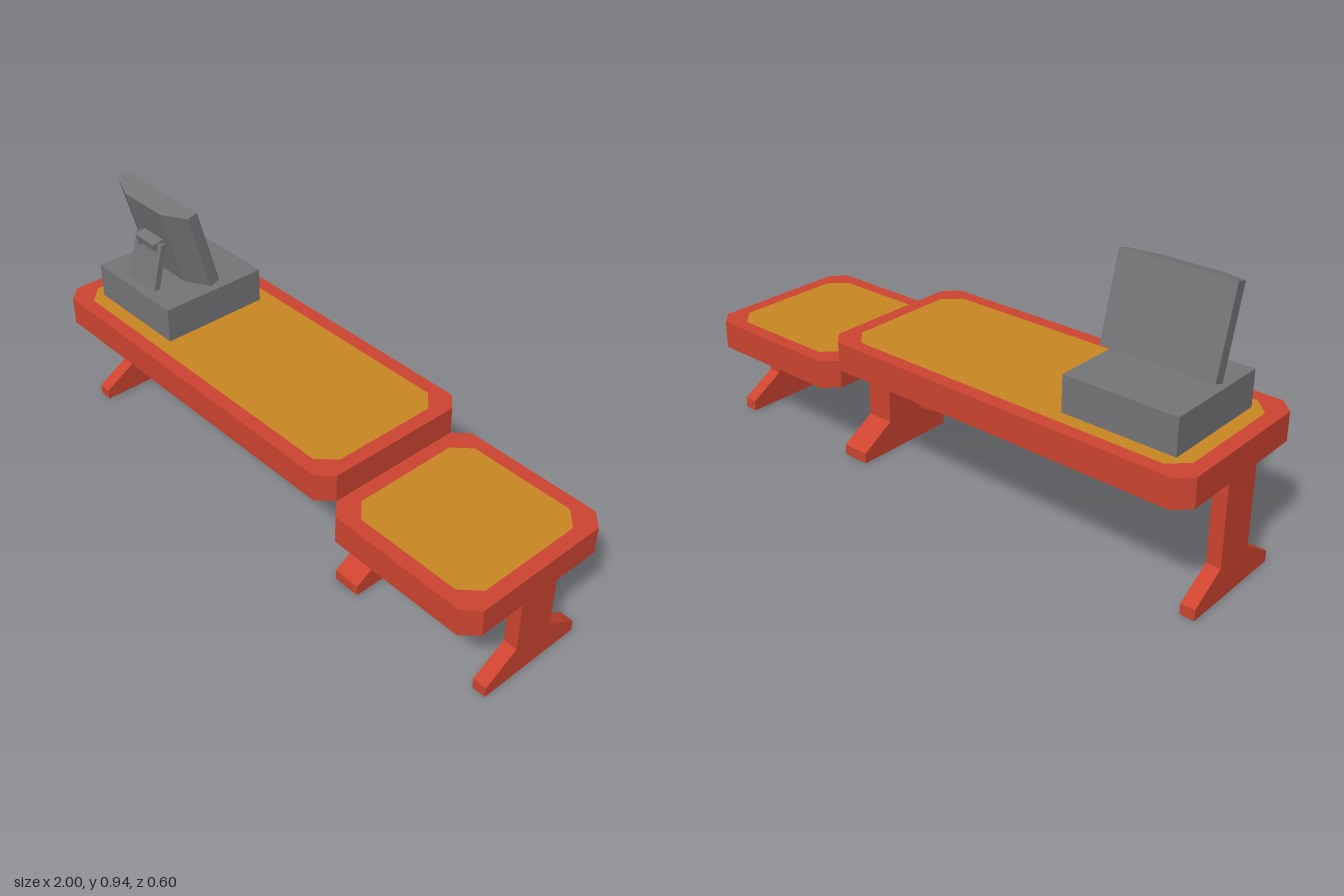
import * as THREE from 'three';

const material = (name, color) => {
  const m = new THREE.MeshStandardMaterial({ color });
  m.name = name;
  return m;
};

// Closed outline from [x, y] points
const outline = (pts) => new THREE.Shape(pts.map(([x, y]) => new THREE.Vector2(x, y)));

// Rectangle with cut corners, centred on the origin
function cutRect(w, d, c) {
  const x = w / 2, y = d / 2;
  return outline([
    [-x + c, -y], [x - c, -y], [x, -y + c], [x, y - c],
    [x - c, y], [-x + c, y], [-x, y - c], [-x, -y + c],
  ]);
}

const extrude = (shape, depth) => new THREE.ExtrudeGeometry(shape, { depth, bevelEnabled: false });

export function createModel() {
  const red = material('red frame', 0xcc4430);
  const ochre = material('ochre tabletop', 0xc88622);
  const grey = material('grey plastic', 0x757477);

  const model = new THREE.Group();
  model.name = 'deskWithMonitor';

  const add = (parent, name, geometry, mat, x = 0, y = 0, z = 0) => {
    const mesh = new THREE.Mesh(geometry, mat);
    mesh.name = name;
    mesh.position.set(x, y, z);
    parent.add(mesh);
    return mesh;
  };

  // One table: red rim, flush inlay and a splayed-foot leg at each end
  function addTable(name, x0, x1, top) {
    const table = new THREE.Group();
    table.name = name;
    model.add(table);
    const w = x1 - x0, mid = (x0 + x1) / 2, thick = 0.1, leg = 0.05;
    const inlay = cutRect(w - 0.1, 0.5, 0.058);
    const rim = cutRect(w, 0.6, 0.05);
    rim.holes.push(inlay);
    add(table, 'rim', extrude(rim, thick).rotateX(-Math.PI / 2), red, mid, top - thick);
    add(table, 'inlay', extrude(inlay, thick).rotateX(-Math.PI / 2), ochre, mid, top - thick);

    const h = top - thick;
    const profile = outline([
      [-0.2, 0], [0.2, 0], [0.2, 0.038], [0.075, 0.113], [0.075, h],
      [-0.075, h], [-0.075, 0.113], [-0.2, 0.038],
    ]);
    for (const x of [x0, x1 - leg]) {
      add(table, 'leg', extrude(profile, leg).rotateY(Math.PI / 2), red, x);
    }
  }
  addTable('longTable', -1, 0.4, 0.5);
  addTable('sideTable', 0.4, 1, 0.4);

  // Computer case lying flat under the monitor
  const cx = -0.7, tilt = Math.PI / 12;
  add(model, 'computerCase', new THREE.BoxGeometry(0.4, 0.125, 0.4), grey, cx, 0.5625, 0);

  // Tilted monitor with a flat screen and bevelled back
  const monitor = new THREE.Group();
  monitor.name = 'monitor';
  monitor.position.set(cx, 0.657, -0.023);
  monitor.rotation.x = tilt;
  model.add(monitor);
  const section = outline([
    [-0.2, -0.04], [-0.1, -0.08], [0.1, -0.08], [0.2, -0.04], [0.2, 0], [-0.2, 0],
  ]);
  add(monitor, 'monitorBody', extrude(section, 0.298).rotateX(-Math.PI / 2), grey);
  add(monitor, 'hinge', new THREE.BoxGeometry(0.105, 0.028, 0.045), grey, 0, 0.154, 0.098);

  // Slotted stand leaning against the hinge
  const stand = outline([[-0.073, -0.01], [0.073, -0.01], [0.073, 0.172], [-0.073, 0.172]]);
  stand.holes.push(outline([[-0.053, 0.127], [-0.053, 0.163], [0.053, 0.163], [0.053, 0.127]]));
  const plate = add(model, 'monitorStand', extrude(stand, 0.022).translate(0, 0, -0.011), grey, cx, 0.622, 0.152);
  plate.rotation.x = -tilt;

  return model;
}
